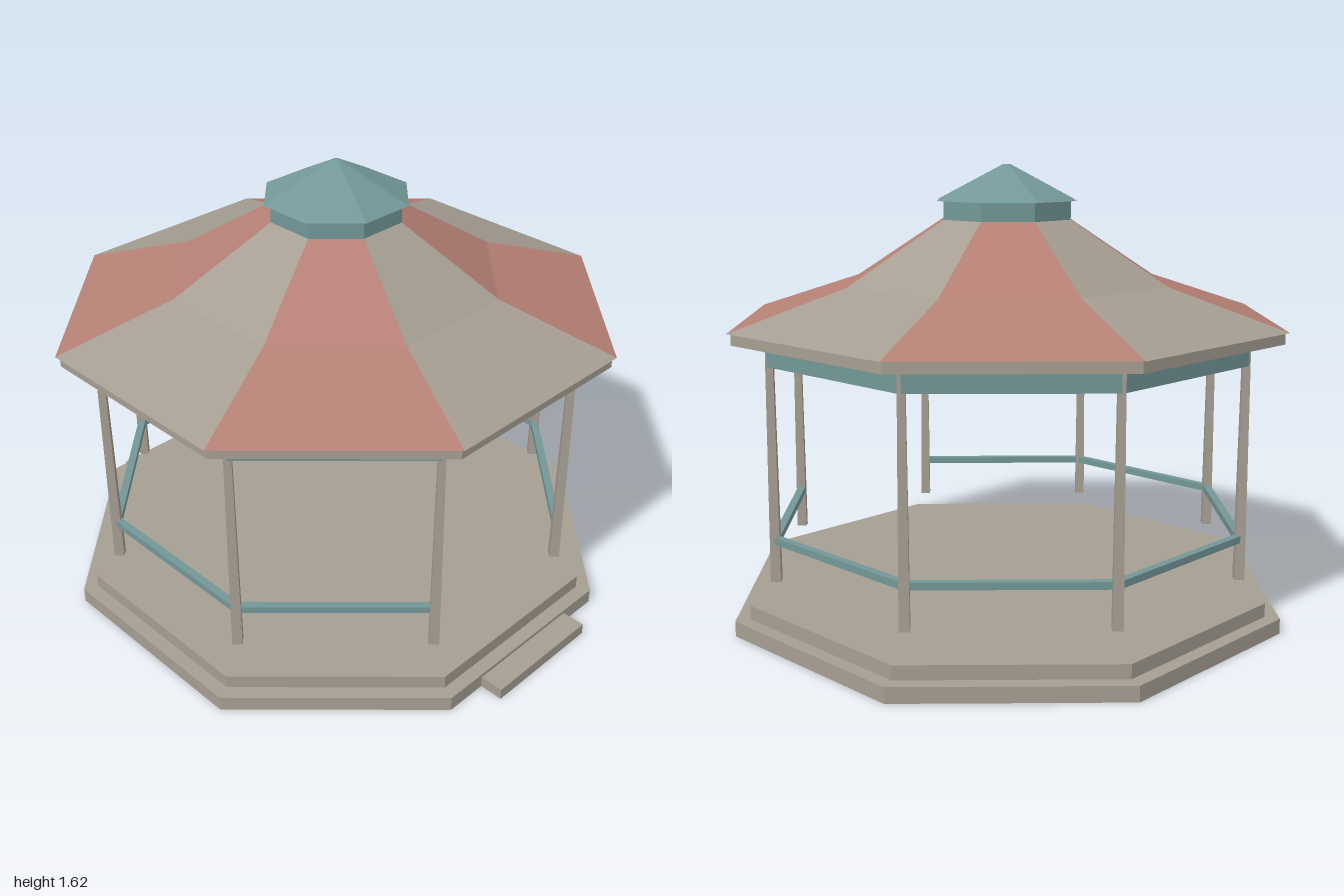
import * as THREE from 'three';

const SIDES = 8;
const STEP = (Math.PI * 2) / SIDES;
const CENTRE_Z = -0.042;

export function createModel() {
  const model = new THREE.Group();
  model.name = 'gazebo';
  const pavilion = new THREE.Group();
  pavilion.name = 'pavilion';
  pavilion.position.z = CENTRE_Z;
  model.add(pavilion);

  const paint = (name, color) => {
    const m = new THREE.MeshStandardMaterial({ color, flatShading: true });
    m.name = name;
    m.side = THREE.DoubleSide;
    return m;
  };
  const stone = paint('warm grey', 0xa69e92);
  const red = paint('faded red', 0xb58076);
  const teal = paint('dusty teal', 0x739798);

  const add = (name, geometry, material, parent = pavilion) => {
    const mesh = new THREE.Mesh(geometry, material);
    mesh.name = name;
    parent.add(mesh);
    return mesh;
  };
  const radius = (apothem) => apothem / Math.cos(STEP / 2);
  const sideLength = (apothem) => 2 * apothem * Math.tan(STEP / 2);

  // Eight-sided solid given by the distance from the axis to its flat sides
  const octagon = (name, bottom, top, y0, y1, material) => {
    const g = new THREE.CylinderGeometry(radius(top), radius(bottom), y1 - y0, SIDES);
    g.rotateY(STEP / 2);
    g.translate(0, (y0 + y1) / 2, 0);
    return add(name, g, material);
  };

  // Platform and front step
  octagon('lowerPlatform', 0.955, 0.955, 0, 0.055, stone);
  octagon('upperPlatform', 0.905, 0.905, 0.055, 0.105, stone);
  const step = add('frontStep', new THREE.BoxGeometry(0.47, 0.042, 0.1), stone, model);
  step.position.set(0, 0.021, 0.95);

  // Square tapered posts, beams and rails, and one roof panel frustum
  const postGeometry = new THREE.CylinderGeometry(0.018, 0.0255, 0.845, 4);
  const beamGeometry = new THREE.BoxGeometry(sideLength(0.815), 0.08, 0.03);
  const railGeometry = new THREE.BoxGeometry(sideLength(0.812), 0.025, 0.028);
  const panel = (bottom, top, y0, y1, start) => {
    const g = new THREE.CylinderGeometry(
      radius(top), radius(bottom), y1 - y0, 1, 1, true, start, STEP);
    g.translate(0, (y0 + y1) / 2, 0);
    return g;
  };
  // Lay a bar along one side of the octagon
  const addBar = (name, geometry, apothem, y, angle) => {
    const bar = add(name, geometry, teal);
    bar.position.set(apothem * Math.sin(angle), y, apothem * Math.cos(angle));
    bar.rotation.y = angle;
  };

  for (let i = 0; i < SIDES; i++) {
    const a = i * STEP;
    const corner = a + STEP / 2;
    const post = add('post', postGeometry, stone);
    post.position.set(radius(0.815) * Math.sin(corner), 0.6075, radius(0.815) * Math.cos(corner));

    addBar('beam', beamGeometry, 0.815, 0.99, a);
    // The front side is left open as the entrance
    if (i > 0) addBar('rail', railGeometry, 0.812, 0.333, a);

    const colour = i % 2 ? red : stone;
    add('lowerRoofPanel', panel(0.949, 0.558, 1.07, 1.207, a - STEP / 2), colour);
    add('upperRoofPanel', panel(0.558, 0.225, 1.207, 1.432, a - STEP / 2), colour);
  }

  // Eave board closing the roof from below
  octagon('eaveBoard', 0.935, 0.935, 1.03, 1.069, stone);

  // Cupola
  octagon('cupolaDrum', 0.225, 0.225, 1.43, 1.498, teal);
  octagon('cupolaCap', 0.247, 0.014, 1.498, 1.624, teal);

  return model;
}
